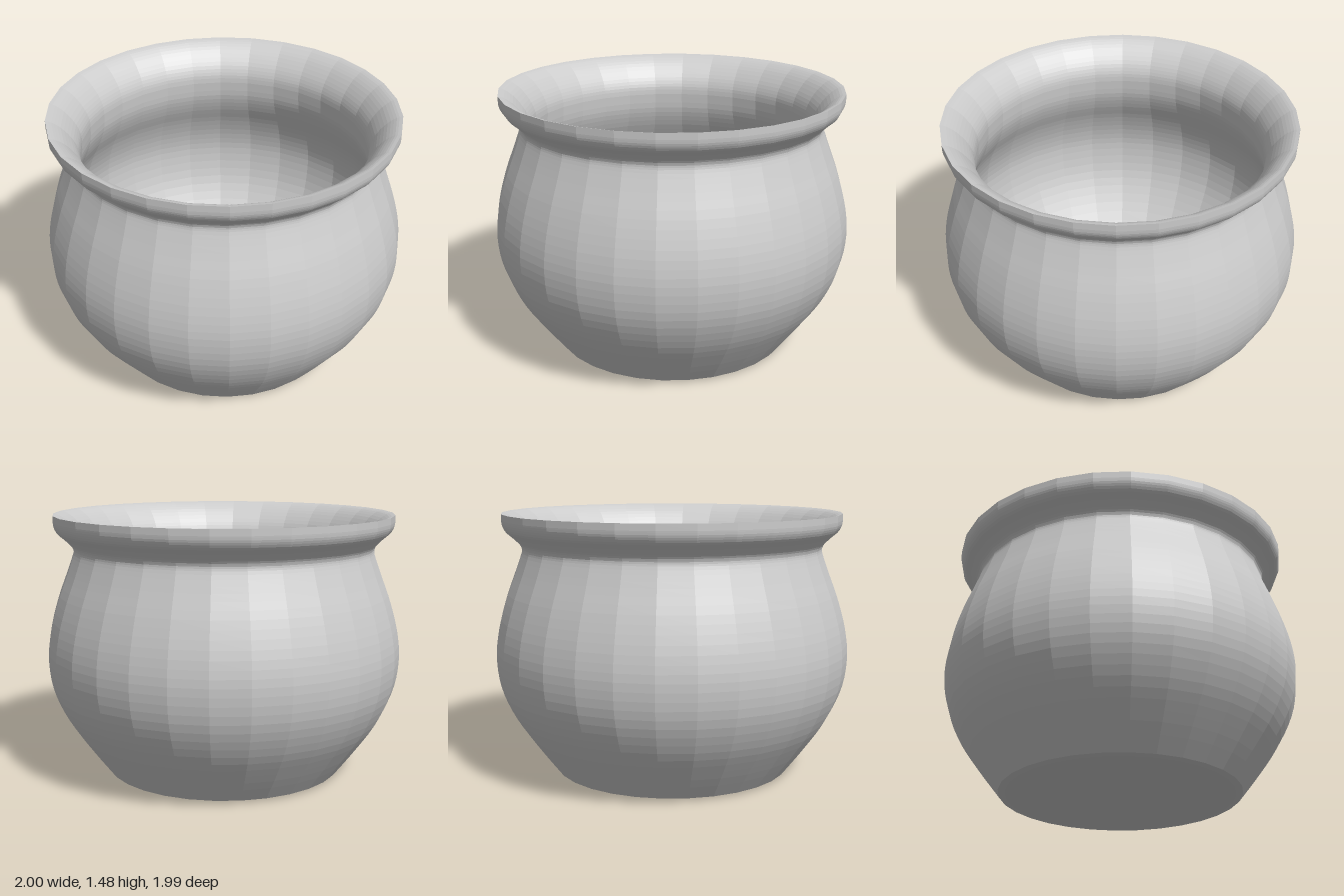
import * as THREE from 'three';

const SIDES = 30;
const material = new THREE.MeshStandardMaterial({ color: 0xcccccc, flatShading: true, side: THREE.DoubleSide });

// Smooth run of profile points through a few [radius, height] pairs
const smooth = (pairs, steps) =>
  new THREE.SplineCurve(pairs.map(([r, y]) => new THREE.Vector2(r, y))).getPoints(steps);

const straight = (pairs) => pairs.map(([r, y]) => new THREE.Vector2(r, y));

// Faceted ring of the profile, with a corner on the x axis
function turned(name, points) {
  const mesh = new THREE.Mesh(new THREE.LatheGeometry(points, SIDES, Math.PI / 2), material);
  mesh.name = name;
  return mesh;
}

export function createModel() {
  const group = new THREE.Group();
  group.name = 'pot';

  // Slightly sagging underside with a narrow bevelled foot
  group.add(turned('base', straight([[0, 0], [0.36, 0.002], [0.63, 0.008], [0.67, 0.014]])));

  // Round belly rising to the neck
  group.add(turned('belly', smooth([
    [0.67, 0.014], [0.79, 0.17], [0.90, 0.33], [0.975, 0.5], [1, 0.67],
    [0.985, 0.83], [0.94, 1.0], [0.885, 1.15], [0.85, 1.25], [0.845, 1.28],
  ], 32)));

  // Flared rim: outer flare, upright lip, then a rounded roll into the mouth
  group.add(turned('rim', [
    ...smooth([[0.845, 1.28], [0.855, 1.305], [0.89, 1.34], [0.93, 1.375], [0.95, 1.41], [0.955, 1.44]], 14),
    ...smooth([[0.955, 1.475], [0.92, 1.463], [0.87, 1.425], [0.82, 1.36], [0.795, 1.3], [0.79, 1.25]], 16),
  ]));

  // Hollow inside, widening below the neck and closing in to the floor
  group.add(turned('innerWall', smooth([
    [0.79, 1.25], [0.80, 1.15], [0.835, 1.05], [0.895, 0.93], [0.94, 0.8], [0.955, 0.67],
    [0.93, 0.5], [0.86, 0.34], [0.75, 0.17], [0.64, 0.035],
  ], 30)));
  group.add(turned('floor', straight([[0.64, 0.035], [0.36, 0.028], [0, 0.026]])));

  return group;
}
